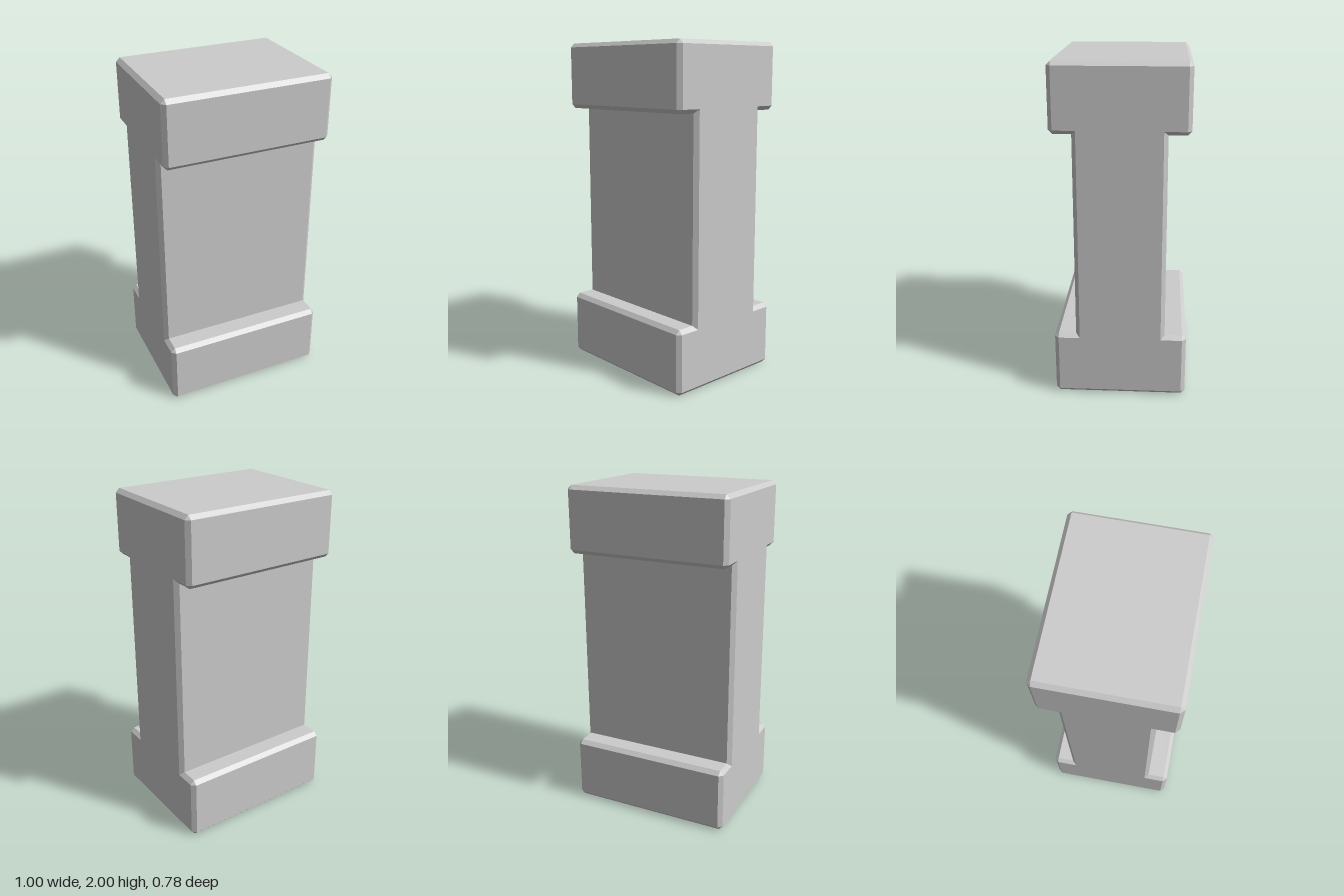
import * as THREE from 'three';

const HALF_WIDTH = 0.5, BEVEL = 0.024;
const DEPTH = 0.391, WAIST = 0.264, FLANGE = 0.605; // profile half sizes about y = 1

// One quarter of the I profile, from the top round to the waist.
// Each entry: inset point on the end face, matching point on the outer outline (z, y).
function quarterProfile() {
  const z = DEPTH - BEVEL, top = 1 - BEVEL, low = FLANGE + BEVEL;
  return [
    { inset: [z, top], outer: [z, 1] },
    { inset: [z, top], outer: [DEPTH, top] },
    { inset: [z, low], outer: [DEPTH, low] },
    { inset: [z, low], outer: [z, FLANGE] },
    { inset: [WAIST - BEVEL, low], outer: [WAIST, FLANGE] },
  ];
}

// Mirror the quarter into a closed ring, counter-clockwise seen from +x.
function fullProfile() {
  const quarter = quarterProfile(), back = [...quarter].reverse();
  const mirror = (pts, sz, sy) => pts.map(p => ({
    inset: [p.inset[0] * sz, p.inset[1] * sy],
    outer: [p.outer[0] * sz, p.outer[1] * sy],
  }));
  return [...mirror(quarter, 1, 1), ...mirror(back, 1, -1),
    ...mirror(quarter, -1, -1), ...mirror(back, -1, 1)];
}

function chamferedBeam() {
  const ring = fullProfile();
  const layer = (x, key) => ring.map(p => new THREE.Vector3(x, p[key][1] + 1, p[key][0]));
  const layers = [
    layer(HALF_WIDTH, 'inset'), layer(HALF_WIDTH - BEVEL, 'outer'),
    layer(BEVEL - HALF_WIDTH, 'outer'), layer(-HALF_WIDTH, 'inset'),
  ];
  const positions = [];
  const triangle = (a, b, c) => {
    if (new THREE.Triangle(a, b, c).getArea() < 1e-8) return; // collapsed at corners
    for (const p of [a, b, c]) positions.push(p.x, p.y, p.z);
  };

  // Chamfers and walls
  for (let i = 0; i < 3; i++) {
    for (let j = 0; j < ring.length; j++) {
      const k = (j + 1) % ring.length;
      const a = layers[i][j], b = layers[i][k], c = layers[i + 1][k], d = layers[i + 1][j];
      triangle(a, d, c);
      triangle(a, c, b);
    }
  }

  // Flat I-shaped end faces
  const ids = ring.map((_, i) => i).filter(i => i === 0 ||
    !layers[0][i].equals(layers[0][i - 1]));
  if (layers[0][ids[0]].equals(layers[0][ids[ids.length - 1]])) ids.pop();
  const outline = ids.map(i => new THREE.Vector2(-layers[0][i].z, layers[0][i].y));
  for (const face of THREE.ShapeUtils.triangulateShape(outline, [])) {
    const [a, b, c] = face.map(i => ids[i]);
    triangle(layers[0][a], layers[0][b], layers[0][c]);
    triangle(layers[3][a], layers[3][c], layers[3][b]);
  }

  const geometry = new THREE.BufferGeometry();
  geometry.setAttribute('position', new THREE.Float32BufferAttribute(positions, 3));
  geometry.computeVertexNormals();
  return geometry;
}

export function createModel() {
  const model = new THREE.Group();
  model.name = 'chamferedPillar';
  const material = new THREE.MeshStandardMaterial({ color: 0xcccccc, flatShading: true });
  const pillar = new THREE.Mesh(chamferedBeam(), material);
  pillar.name = 'pillar';
  model.add(pillar);
  return model;
}
